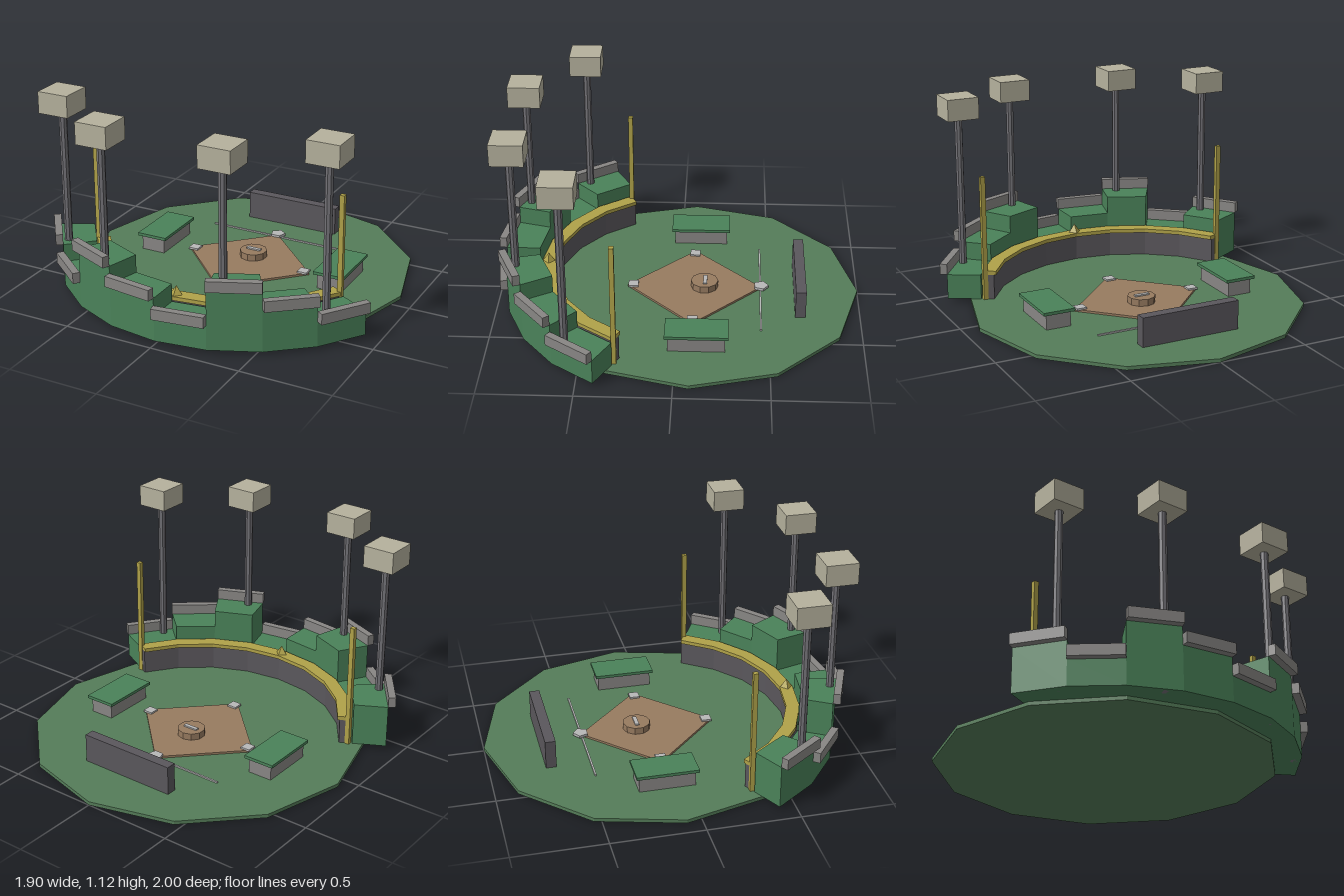
import * as THREE from 'three';

const CZ = -0.08;                              // centre of the field and of all arcs
const STEP = THREE.MathUtils.degToRad(15.5);   // one stand section
const SECTIONS = 8;

const paint = (color) => new THREE.MeshStandardMaterial({ color, flatShading: true });
const M = {
  grass: paint(0x557d59), stand: paint(0x4a8259), dirt: paint(0x977b60), rail: paint(0x888684),
  dark: paint(0x5a575c), steel: paint(0x727176), yellow: paint(0xb0a249),
  lamp: paint(0xb5b19d), white: paint(0xb8b8b8),
};

export function createModel() {
  const root = new THREE.Group();

  const add = (name, geo, mat, x = 0, y = 0, z = 0, ry = 0) => {
    const mesh = new THREE.Mesh(geo, mat);
    mesh.name = name;
    mesh.position.set(x, y, z);
    mesh.rotation.y = ry;
    root.add(mesh);
    return mesh;
  };
  // box and upright prism given by their bottom height y0 and top height y1
  const box = (name, mat, w, d, y0, y1, x, z, ry) =>
    add(name, new THREE.BoxGeometry(w, y1 - y0, d), mat, x, (y0 + y1) / 2, z, ry);
  const prism = (name, mat, r, sides, y0, y1, x, z, ry) =>
    add(name, new THREE.CylinderGeometry(r, r, y1 - y0, sides), mat, x, (y0 + y1) / 2, z, ry);

  // faceted ring sector between section edges i0 and i1 (0 = right end, 8 = left end)
  const polar = (r, a) => [r * Math.sin(a), CZ + r * Math.cos(a)];
  const sector = (name, mat, r0, r1, y0, y1, i0, i1) => {
    const pts = [];
    const put = (r, i) => {
      const [x, z] = polar(r, (i - SECTIONS / 2) * STEP);
      pts.push(new THREE.Vector2(x, -z));
    };
    for (let i = i0; i <= i1; i++) put(r1, i);
    for (let i = i1; i >= i0; i--) put(r0, i);
    const geo = new THREE.ExtrudeGeometry(new THREE.Shape(pts), { depth: y1 - y0, bevelEnabled: false });
    geo.rotateX(-Math.PI / 2);
    return add(name, geo, mat, 0, y0, 0);
  };

  // ground and infield
  prism('field', M.grass, 0.92, 12, 0, 0.02, 0, CZ);
  prism('infield', M.dirt, 0.375, 4, 0.02, 0.032, 0, CZ - 0.005);
  prism('mound', M.dirt, 0.077, 10, 0.03, 0.07, 0, -0.143);
  box('pitchingPlate', M.white, 0.085, 0.022, 0.07, 0.078, 0, -0.147);
  box('rightBase', M.white, 0.056, 0.056, 0.03, 0.042, -0.342, -0.083);
  box('leftBase', M.white, 0.056, 0.056, 0.03, 0.042, 0.342, -0.083);
  box('farBase', M.white, 0.056, 0.056, 0.03, 0.042, 0, 0.257);
  prism('homePlate', M.white, 0.043, 5, 0.03, 0.045, 0, -0.46, Math.PI);
  box('homeLine', M.white, 0.83, 0.01, 0.02, 0.028, 0, -0.456);

  // backstop behind home plate
  box('backstop', M.dark, 0.56, 0.057, 0.02, 0.18, 0, -0.672);

  // outfield wall with its yellow cap and centre marker
  sector('outfieldWall', M.dark, 0.782, 0.838, 0.02, 0.16, 0, SECTIONS);
  sector('wallCap', M.yellow, 0.77, 0.845, 0.16, 0.182, 0, SECTIONS);
  add('centreMarker', new THREE.ConeGeometry(0.035, 0.05, 4), M.yellow, 0, 0.206, 0.728);

  // stand sections in three repeating heights, each with an outer railing
  const heights = [0.26, 0.16, 0.36];
  for (let i = 0; i < SECTIONS; i++) {
    const h = heights[i % 3];
    sector('standSection', M.stand, 0.855, 1.04, 0.02, h, i, i + 1);
    const a = (i + 0.5 - SECTIONS / 2) * STEP;
    const [x, z] = polar(1.05, a);
    box('standRailing', M.rail, 0.282, 0.04, h, h + 0.06, x, z, a);
  }

  // mirrored parts
  for (const s of [-1, 1]) {
    box('dugoutBody', M.rail, 0.14, 0.305, 0.02, 0.105, s * 0.55, -0.112);
    box('dugoutRoof', M.stand, 0.178, 0.338, 0.105, 0.122, s * 0.55, -0.112);
    box('foulPole', M.yellow, 0.026, 0.026, 0.02, 0.72, s * 0.733, 0.312);

    // floodlights
    for (const deg of [20, 50]) {
      const [x, z] = polar(1, s * THREE.MathUtils.degToRad(deg));
      prism('lightPole', M.steel, 0.022, 8, 0.02, 1.0, x, z);
      box('lightHead', M.lamp, 0.178, 0.178, 1.0, 1.12, x, z);
    }
  }
  return root;
}
